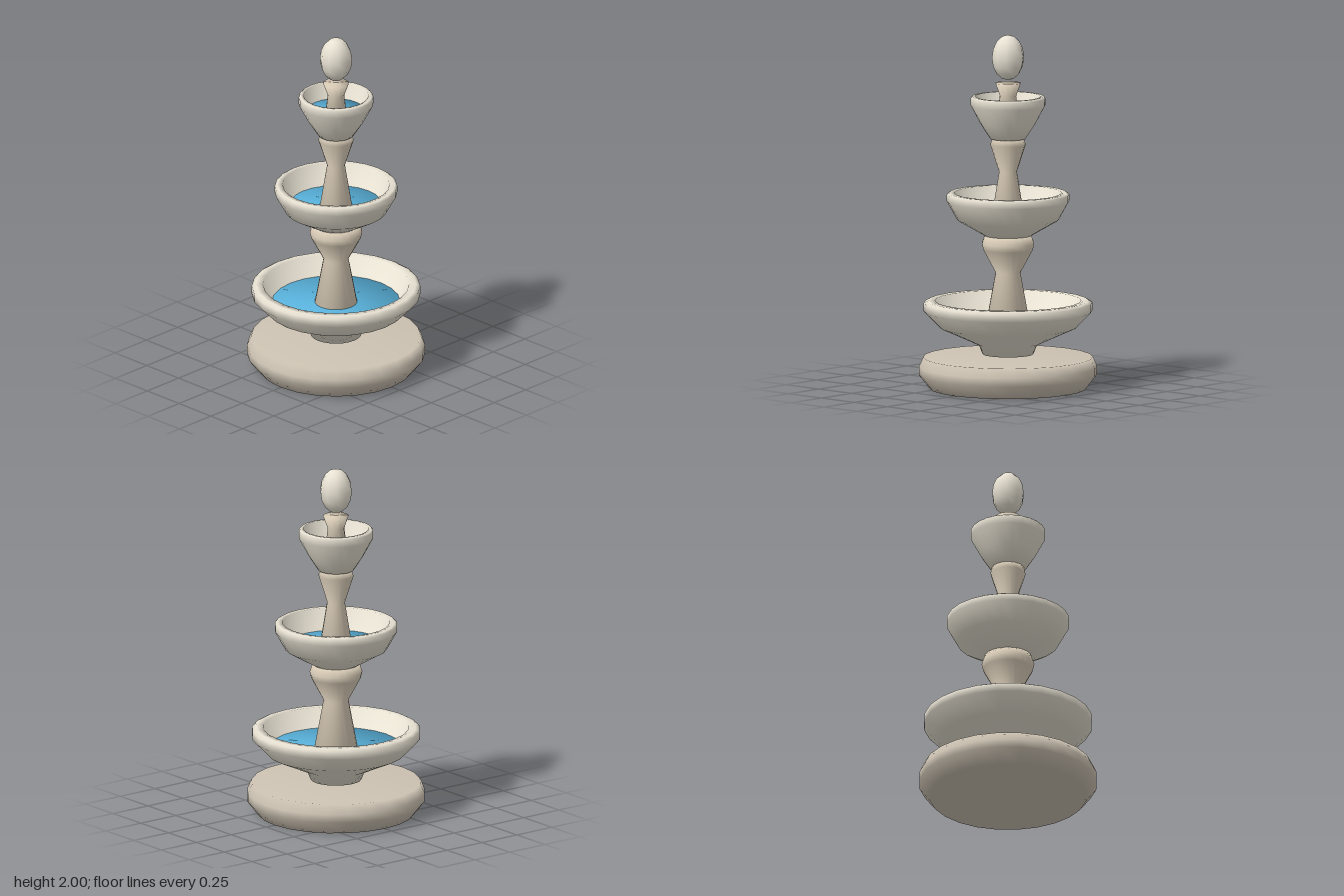
import * as THREE from 'three';

const material = (color) => new THREE.MeshStandardMaterial({ color });

export function createModel() {
  const fountain = new THREE.Group();
  fountain.name = 'tieredFountain';

  const ivory = material(0xe8e2d3);
  const sand = material(0xdacdb8);
  const plinthStone = material(0xcdc3b3);
  const blue = material(0x5ab4de);

  // Turned part; the profile runs [radius, height] from the bottom up
  function turned(name, profile, mat, sides = 24) {
    const points = profile.map(([r, y]) => new THREE.Vector2(r, y));
    const mesh = new THREE.Mesh(new THREE.LatheGeometry(points, sides), mat);
    mesh.name = name;
    fountain.add(mesh);
  }

  // Basin wall with an inner floor, and the body of water filling it
  function basin(name, outer, waterRim, floor) {
    turned(name + 'Bowl', [[0, outer[0][1]], ...outer, waterRim, floor, [0, floor[1]]], ivory);
    turned(name + 'Water', [[0, floor[1]], floor, waterRim, [0, waterRim[1]]], blue);
  }

  // Plinth
  turned('plinth', [[0, 0], [0.44, 0], [0.5, 0.077], [0.5, 0.124], [0.476, 0.177], [0, 0.177]], plinthStone);

  // Three basins, shrinking upwards
  basin('lower',
    [[0.143, 0.193], [0.164, 0.246], [0.386, 0.347], [0.473, 0.437], [0.473, 0.484], [0.45, 0.496], [0.41, 0.496]],
    [0.36, 0.39], [0.15, 0.25]);
  basin('middle',
    [[0.127, 0.862], [0.286, 0.955], [0.344, 1.06], [0.344, 1.097], [0.33, 1.106], [0.3, 1.106]],
    [0.26, 0.985], [0.125, 0.885]);
  basin('upper',
    [[0.1, 1.413], [0.153, 1.495], [0.209, 1.6], [0.209, 1.642], [0.2, 1.652], [0.182, 1.652]],
    [0.16, 1.56], [0.08, 1.45]);

  // Waisted columns rising out of each basin
  turned('lowerColumn',
    [[0, 0.38], [0.12, 0.385], [0.07, 0.655], [0.14, 0.785], [0.148, 0.82], [0.132, 0.865], [0, 0.865]], sand, 20);
  turned('middleColumn',
    [[0, 0.975], [0.09, 0.98], [0.05, 1.225], [0.099, 1.378], [0.09, 1.415], [0, 1.415]], sand, 16);
  turned('upperColumn',
    [[0, 1.54], [0.06, 1.55], [0.047, 1.655], [0.073, 1.728], [0, 1.728]], sand, 12);

  // Egg-shaped finial
  const finial = new THREE.Mesh(new THREE.SphereGeometry(1, 10, 8), ivory);
  finial.name = 'finial';
  finial.scale.set(0.092, 0.128, 0.092);
  finial.rotation.y = Math.PI / 2;
  finial.position.y = 1.872;
  fountain.add(finial);

  return fountain;
}
